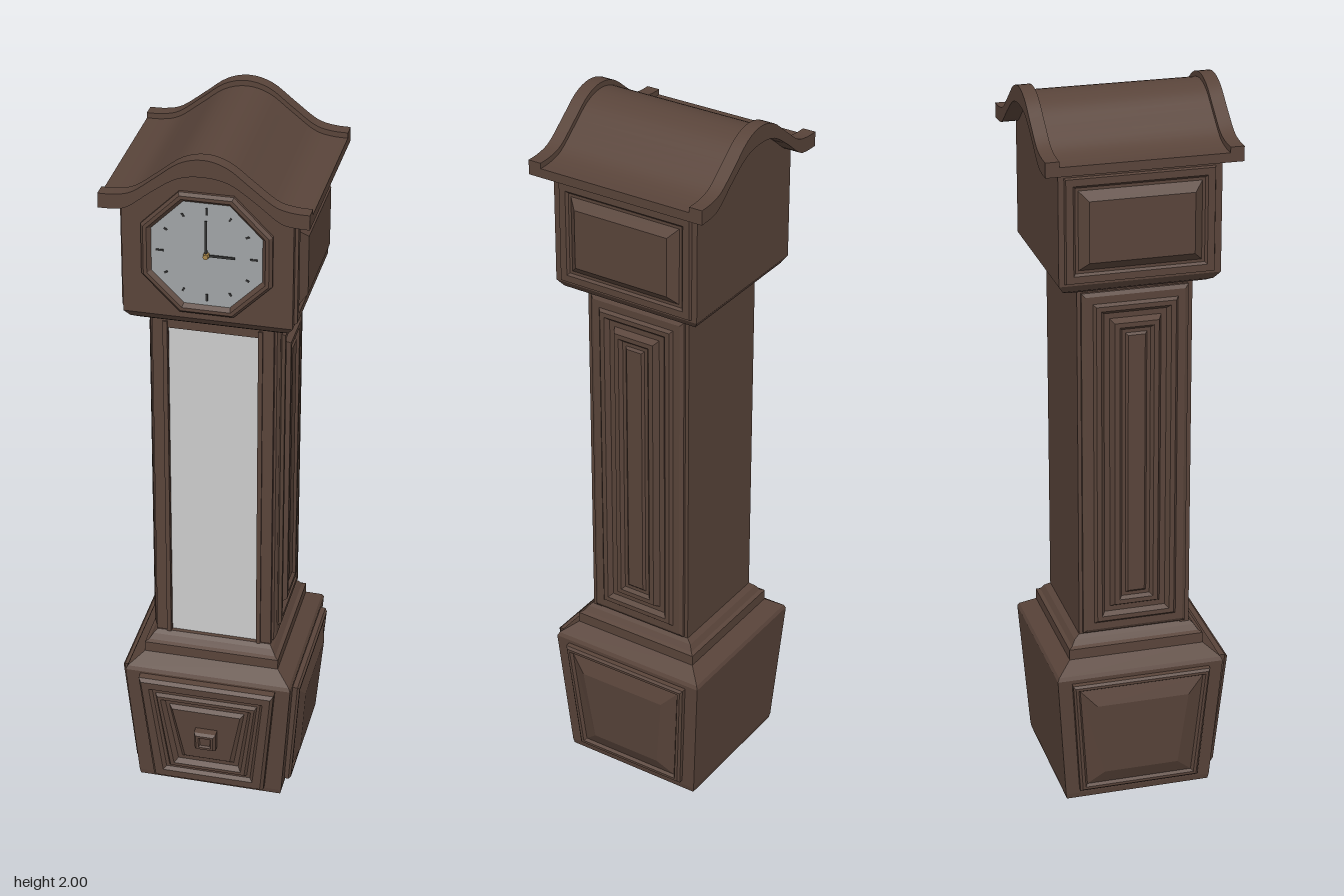
import * as THREE from 'three';
import { toCreasedNormals } from 'three/addons/utils/BufferGeometryUtils.js';

const mat = (color, flatShading = true) =>
  new THREE.MeshStandardMaterial({ color, flatShading, side: THREE.DoubleSide });

// Skin of quads between four-cornered rings, last ring capped on request
function loft(rings, cap = true) {
  const pos = [];
  const quad = (a, b, c, d) => pos.push(...a, ...b, ...c, ...a, ...c, ...d);
  for (let r = 0; r + 1 < rings.length; r++) {
    const p = rings[r], q = rings[r + 1];
    for (let i = 0; i < 4; i++) {
      const j = (i + 1) % 4;
      quad(p[i], p[j], q[j], q[i]);
    }
  }
  if (cap) quad(...rings[rings.length - 1]);
  const g = new THREE.BufferGeometry();
  g.setAttribute('position', new THREE.Float32BufferAttribute(pos, 3));
  g.computeVertexNormals();
  return g;
}

// Upright rectangular case from sections [y, halfWidth, frontZ, backZ]
const tower = (sections, cap) =>
  loft(sections.map(([y, w, f, b]) => [[-w, y, f], [w, y, f], [w, y, b], [-w, y, b]]), cap);

// Stepped panel facing +z, from steps [inset, depth]
const panel = (bottomW, topW, h, steps, cap) =>
  loft(steps.map(([i, z]) => {
    const b = bottomW / 2 - i, t = topW / 2 - i;
    return [[-b, i, z], [b, i, z], [t, h - i, z], [-t, h - i, z]];
  }), cap);

// Mirrored scroll line of the roof, from right to left
function scroll(half) {
  const pts = half.map(([x, y]) => new THREE.Vector2(x, y));
  const all = [...pts, ...pts.slice(0, -1).reverse().map(p => new THREE.Vector2(-p.x, p.y))];
  return new THREE.SplineCurve(all).getPoints(40);
}

function extrude(points, z0, z1) {
  const g = new THREE.ExtrudeGeometry(new THREE.Shape(points), { depth: z1 - z0, bevelEnabled: false });
  g.translate(0, 0, z0);
  return toCreasedNormals(g, 0.5);
}

export function createModel() {
  const clock = new THREE.Group();
  clock.name = 'longcaseClock';
  const wood = mat(0x59443a), smoothWood = mat(0x59443a, false);
  const glass = mat(0xcccccc), dialGrey = mat(0xa0a4a6), dark = mat(0x333333), brass = mat(0xa8864a);
  const add = (name, geo, material = wood, parent = clock) => {
    const m = new THREE.Mesh(geo, material);
    m.name = name;
    parent.add(m);
    return m;
  };

  // Tapered plinth, open underneath, with stepped moulding
  add('plinth', tower([
    [0, 0.205, 0.195, -0.215], [0.015, 0.208, 0.198, -0.218], [0.39, 0.235, 0.225, -0.245],
    [0.4, 0.23, 0.22, -0.24], [0.43, 0.19, 0.18, -0.2], [0.46, 0.19, 0.18, -0.2],
    [0.465, 0.18, 0.17, -0.19], [0.48, 0.17, 0.16, -0.18], [0.49, 0.16, 0.15, -0.165]], true));

  // Plinth panels lean with the taper
  const lean = Math.atan2(0.03, 0.39);
  const front = add('plinthFrontPanel', panel(0.32, 0.385, 0.36, [
    [0, 0], [0, 0.02], [0.008, 0.03], [0.03, 0.03], [0.038, 0.02], [0.047, 0.02],
    [0.053, 0.03], [0.063, 0.03], [0.073, 0.016], [0.085, 0.016], [0.095, 0.026]]));
  front.position.set(0, 0.025, 0.197);
  front.rotation.x = lean;
  const boss = add('plinthBoss', panel(0.06, 0.062, 0.06, [
    [0, 0], [0, 0.022], [0.006, 0.03], [0.013, 0.03], [0.016, 0.024]]));
  boss.position.set(0, 0.17, 0.232);
  boss.rotation.x = lean;

  // Trunk
  add('trunk', tower([[0.48, 0.16, 0.125, -0.165], [1.5, 0.16, 0.125, -0.165]], true));
  for (const s of [-1, 1]) {
    const stile = add('doorStile', new THREE.BoxGeometry(0.042, 1.01, 0.026));
    stile.position.set(s * 0.141, 0.985, 0.134);
    const bead = add('doorBead', new THREE.BoxGeometry(0.012, 1.0, 0.008));
    bead.position.set(s * 0.127, 0.98, 0.148);
  }
  add('doorTopRail', new THREE.BoxGeometry(0.24, 0.035, 0.026)).position.set(0, 1.4775, 0.134);
  add('doorGlass', new THREE.PlaneGeometry(0.24, 0.97)).position.set(0, 0.975, 0.138);
  clock.getObjectByName('doorGlass').material = glass;

  // Panels on both flanks
  for (const s of [-1, 1]) {
    const flank = new THREE.Group();
    flank.name = s > 0 ? 'leftPanels' : 'rightPanels';
    flank.rotation.y = s * Math.PI / 2;
    clock.add(flank);
    const low = add('plinthSidePanel', panel(0.34, 0.39, 0.35, [
      [0, 0], [0, 0.014], [0.006, 0.02], [0.014, 0.02], [0.02, 0.012], [0.065, 0.03]]), wood, flank);
    low.position.set(s * 0.01, 0.03, 0.207);
    low.rotation.x = lean;
    const mid = add('trunkSidePanel', panel(0.29, 0.29, 0.99, [
      [0, 0], [0, 0.008], [0.01, 0.014], [0.03, 0.014], [0.037, 0.022], [0.05, 0.022],
      [0.06, 0.01], [0.075, 0.01], [0.085, 0.027], [0.098, 0.027], [0.106, 0.018], [0.116, 0.018], [0.122, 0.024]]), wood, flank);
    mid.position.set(s * 0.01, 0.495, 0.16);
    const top = add('hoodSidePanel', panel(0.4, 0.4, 0.285, [
      [0, 0], [0.003, 0.008], [0.022, 0.008], [0.028, 0.002], [0.036, 0.002], [0.06, 0.023]]), wood, flank);
    top.position.set(s * 0.0125, 1.535, 0.222);
  }

  // Hood with scrolled gable
  const under = scroll([[0.222, 1.845], [0.2, 1.85], [0.17, 1.87], [0.1, 1.93], [0.05, 1.952], [0, 1.96]]);
  add('hood', extrude([new THREE.Vector2(-0.222, 1.53), new THREE.Vector2(0.222, 1.53), ...under], -0.228, 0.205), smoothWood);
  add('hoodBase', tower([
    [1.49, 0.165, 0.15, -0.165], [1.5, 0.19, 0.175, -0.2], [1.51, 0.208, 0.19, -0.215], [1.53, 0.222, 0.205, -0.228]], true));

  // Roof sheet with a raised trim board at each end
  const topLine = d => scroll([[0.27, 1.88 - d], [0.225, 1.882 - d], [0.18, 1.895 - d],
    [0.12, 1.94 - d], [0.06, 1.985 - d], [0, 2 - d]]);
  const lowLine = scroll([[0.27, 1.84], [0.225, 1.842], [0.19, 1.853],
    [0.13, 1.9], [0.065, 1.942], [0, 1.953]]).reverse();
  add('roof', extrude([...topLine(0.015), ...lowLine], -0.235, 0.21), smoothWood);
  add('frontRoofTrim', extrude([...topLine(0), ...lowLine], 0.21, 0.247), smoothWood);
  add('backRoofTrim', extrude([...topLine(0), ...lowLine], -0.272, -0.235), smoothWood);

  // Dial with eight-sided bezel, hour marks and hands
  const dial = new THREE.Group();
  dial.name = 'dial';
  dial.position.set(0, 1.72, 0.205);
  clock.add(dial);
  const bezel = new THREE.LatheGeometry(
    [[0.184, 0], [0.184, 0.008], [0.176, 0.016], [0.166, 0.016], [0.155, 0.004]].map(p => new THREE.Vector2(...p)),
    8, Math.PI / 8);
  add('bezel', bezel.rotateX(Math.PI / 2), wood, dial);
  add('dialFace', new THREE.CircleGeometry(0.158, 8, Math.PI / 8), dialGrey, dial).position.z = 0.005;
  for (let i = 0; i < 12; i++) {
    const a = i * Math.PI / 6;
    const mark = add('hourMark', new THREE.BoxGeometry(0.005, i % 3 ? 0.01 : 0.02, 0.002), dark, dial);
    mark.position.set(Math.sin(a) * 0.122, Math.cos(a) * 0.122, 0.006);
    mark.rotation.z = -a;
  }
  add('minuteHand', new THREE.BoxGeometry(0.006, 0.1, 0.003), dark, dial).position.set(0, 0.048, 0.012);
  add('hourHand', new THREE.BoxGeometry(0.075, 0.006, 0.003), dark, dial).position.set(0.036, 0, 0.009);
  const pin = add('handPin', new THREE.CylinderGeometry(0.007, 0.009, 0.016, 8), brass, dial);
  pin.rotation.x = Math.PI / 2;
  pin.position.z = 0.012;

  return clock;
}
